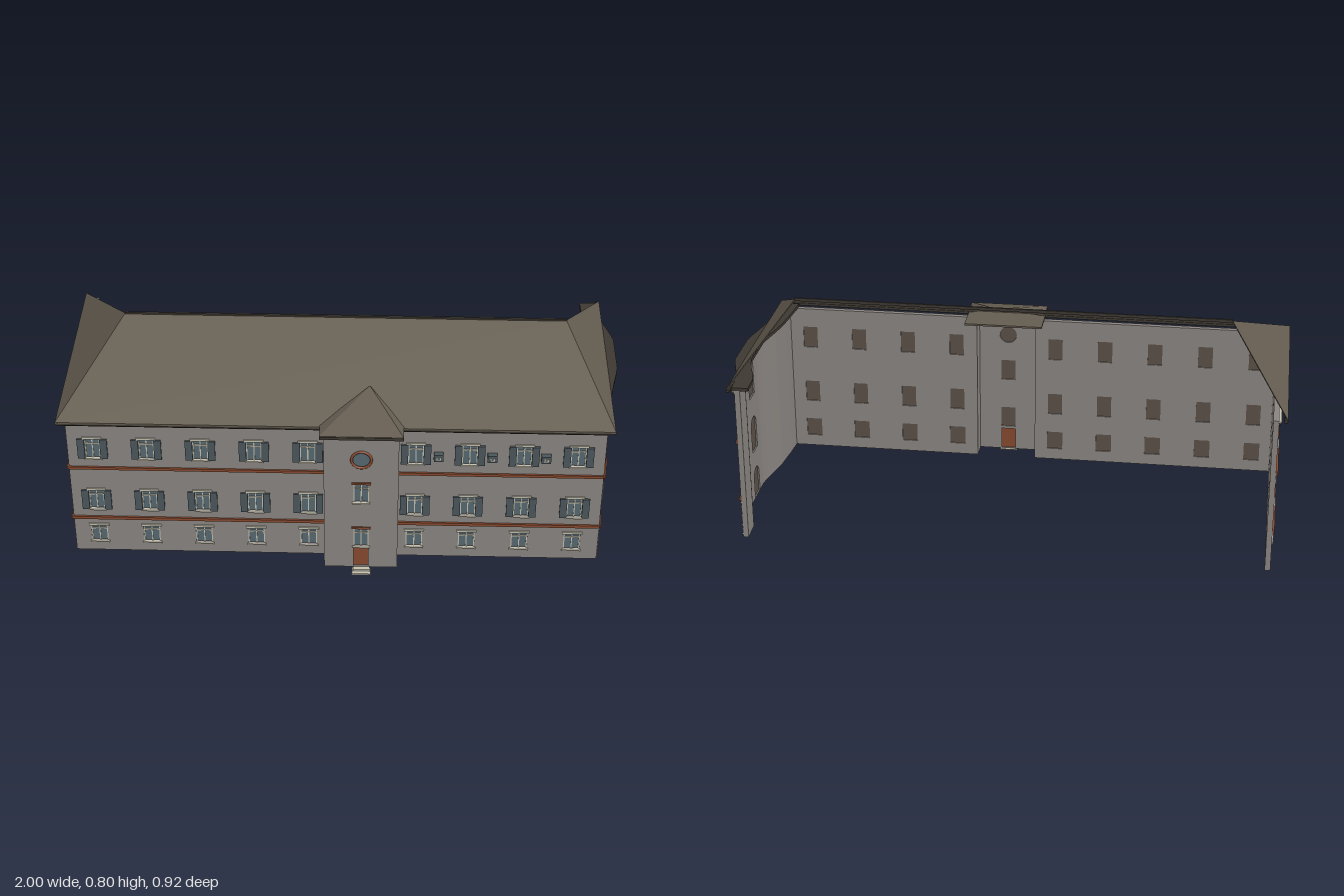
import * as THREE from 'three';

const mat = (name, color, extra = {}) => {
  const m = new THREE.MeshStandardMaterial({ color, ...extra });
  m.name = name;
  return m;
};

export function createModel() {
  const M = {
    wall: mat('wall grey', 0x8a8581),
    roof: mat('roof brown', 0x645c50, { side: THREE.DoubleSide }),
    trim: mat('terracotta trim', 0x86492f),
    cream: mat('cream stone', 0xc4bfae),
    glass: mat('window glass', 0x566870),
    shutter: mat('shutter slate', 0x4b575c),
    panel: mat('inner panel brown', 0x5a5047),
    fascia: mat('dark fascia', 0x3d3831),
  };
  const root = new THREE.Group();
  root.name = 'building';
  const BASE = 0.015, TOP = 0.6, T = 0.02;

  const add = (parent, name, geo, material) => {
    const m = new THREE.Mesh(geo, material);
    m.name = name;
    parent.add(m);
    return m;
  };
  // Box given by its lower and upper limits
  const box = (parent, name, m, x0, x1, y0, y1, z0, z1) =>
    add(parent, name, new THREE.BoxGeometry(x1 - x0, y1 - y0, z1 - z0), m)
      .position.set((x0 + x1) / 2, (y0 + y1) / 2, (z0 + z1) / 2);
  const group = (name, x, z, turn = 0) => {
    const g = new THREE.Group();
    g.name = name;
    g.position.set(x, 0, z);
    g.rotation.y = turn;
    root.add(g);
    return g;
  };
  const rect = (x0, x1, y0, y1, C = THREE.Path) =>
    new C([[x0, y0], [x1, y0], [x1, y1], [x0, y1]].map(p => new THREE.Vector2(...p)));
  const arch = (x, r, y0, spring, C = THREE.Path) => {
    const p = new C();
    p.moveTo(x - r, y0);
    p.lineTo(x + r, y0);
    p.lineTo(x + r, spring);
    p.absarc(x, spring, r, 0, Math.PI, false);
    p.closePath();
    return p;
  };
  const extrude = (shape, depth, z = 0) =>
    new THREE.ExtrudeGeometry(shape, { depth, bevelEnabled: false, curveSegments: 14 }).translate(0, 0, z);
  const wallPanel = (parent, x0, x1, holes) => {
    const s = rect(x0, x1, BASE, TOP, THREE.Shape);
    s.holes.push(...holes);
    add(parent, 'wall', extrude(s, T, -T), M.wall);
  };

  // Recessed rectangular window; returns the hole it needs
  const windowUnit = (parent, x, y, w, h, { shutters = false, header = false } = {}) => {
    const g = new THREE.Group();
    g.name = 'window';
    g.position.set(x, y, 0);
    parent.add(g);
    const a = w / 2;
    box(g, 'glass', M.glass, -a, a, 0, h, -0.011, -0.007);
    box(g, 'innerPanel', M.panel, -a, a, 0, h, -0.016, -0.011);
    for (const bx of [-a + 0.002, 0, a - 0.002])
      box(g, 'frameBar', M.cream, bx - 0.002, bx + 0.002, 0, h, -0.007, -0.003);
    box(g, 'crossBar', M.cream, -a, a, h * 0.7, h * 0.7 + 0.004, -0.007, -0.003);
    box(g, 'sill', M.cream, -a - 0.005, a + 0.005, -0.006, 0, -0.004, 0.006);
    box(g, 'lintel', header ? M.trim : M.cream, -a - 0.007, a + 0.007, h, h + 0.008, -0.004, 0.005);
    if (shutters)
      for (const s of [-1, 1]) {
        const c = s * (a + 0.013);
        box(g, 'shutter', M.shutter, c - 0.013, c + 0.013, 0, h, 0, 0.007);
      }
    return rect(x - a, x + a, y, y + h);
  };
  const floors = [[0.06, 0.072, 0.06], [0.21, 0.085, 0.055], [0.44, 0.085, 0.055]];
  const windowGrid = (parent, xs, shutters) => xs.flatMap(x =>
    floors.map(([y, h, w], i) => windowUnit(parent, x, y, w, h, { shutters: shutters && i > 0 })));
  const bandLevels = [
    ['lowerBand', M.trim, 0.163, 0.175, 0.007], ['upperBand', M.trim, 0.391, 0.402, 0.007],
    ['corniceBand', M.fascia, 0.584, 0.591, 0.006], ['corniceLine', M.cream, 0.593, 0.597, 0.009],
  ];
  const bands = (parent, x0, x1) => bandLevels.forEach(([n, m, y0, y1, d]) =>
    box(parent, n, m, x0, x1, y0, y1, -0.002, d));

  // Front wall, on both sides of the tower
  const front = group('frontWall', 0, 0.36);
  const sides = [
    [-0.97, -0.055, [-0.88, -0.688, -0.496, -0.305, -0.114]],
    [0.21, 0.94, [0.27, 0.461, 0.653, 0.845]],
  ];
  for (const [x0, x1, xs] of sides) {
    wallPanel(front, x0, x1, windowGrid(front, xs, true));
    bands(front, x0, x1);
  }
  // Small wall units between the upper windows
  for (const x of [0.35, 0.54, 0.73]) {
    box(front, 'wallUnit', M.shutter, x - 0.017, x + 0.017, 0.466, 0.494, 0, 0.022);
    box(front, 'wallUnitFace', M.cream, x - 0.008, x + 0.008, 0.474, 0.486, 0.022, 0.024);
    box(front, 'wallUnitVent', M.shutter, x - 0.004, x + 0.004, 0.477, 0.483, 0.024, 0.025);
  }

  // Left-hand end wall at -x
  const end = group('endWall', -0.97, 0, -Math.PI / 2);
  wallPanel(end, -0.44, 0.36, windowGrid(end, [0.21, -0.03, -0.28], false));
  bands(end, -0.44, 0.366);

  // Entrance tower
  const tower = group('tower', 0, 0.43);
  const cx = 0.078, ry = 0.505, rr = 0.033;
  const holes = [
    windowUnit(tower, cx, 0.315, 0.055, 0.082, { header: true }),
    windowUnit(tower, cx, 0.113, 0.055, 0.082, { header: true }),
    rect(cx - 0.027, cx + 0.027, 0.018, 0.102),
    new THREE.Path().absarc(cx, ry, rr, 0, Math.PI * 2, false),
  ];
  wallPanel(tower, -0.055, 0.21, holes);
  box(tower, 'towerSide', M.wall, -0.055, -0.035, BASE, TOP, -0.09, -T);
  box(tower, 'towerSide', M.wall, 0.19, 0.21, BASE, TOP, -0.09, -T);
  box(tower, 'door', M.trim, cx - 0.027, cx + 0.027, 0.018, 0.102, -0.014, -0.008);
  const disc = (name, m, z) => {
    const d = add(tower, name, new THREE.CylinderGeometry(rr, rr, 0.004, 24).rotateX(Math.PI / 2), m);
    d.position.set(cx, ry, z);
  };
  disc('roundGlass', M.glass, -0.008);
  disc('roundInnerPanel', M.panel, -0.013);
  add(tower, 'roundTrim', new THREE.TorusGeometry(rr + 0.002, 0.005, 8, 28), M.trim).position.set(cx, ry, 0);
  box(tower, 'step', M.cream, cx - 0.028, cx + 0.032, 0.007, 0.015, -0.015, 0.016);
  box(tower, 'step', M.cream, cx - 0.032, cx + 0.036, 0, 0.007, -0.005, 0.03);

  // Bowed end wall at +x: plan points as [x, z]
  const bow = group('bowedWall', 0, 0);
  const fore = [[0.94, 0.36], [0.946, 0.27], [0.957, 0.16], [0.97, 0.09], [0.982, 0.035], [0.99, -0.01]];
  const aft = [[0.99, -0.19], [0.982, -0.225], [0.965, -0.28], [0.95, -0.325], [0.942, -0.355], [0.94, -0.44]];
  const strip = (name, m, pts, out, thick, y0, y1) => {
    const line = [...pts.map(([x, z]) => [x + out, z]), ...pts.map(([x, z]) => [x + out - thick, z]).reverse()];
    const s = new THREE.Shape(line.map(([x, z]) => new THREE.Vector2(x, -z)));
    add(bow, name, extrude(s, y1 - y0).rotateX(-Math.PI / 2).translate(0, y0, 0), m);
  };
  const plan = [...fore, ...aft];
  strip('wall', M.wall, fore, 0, T, BASE, TOP);
  strip('wall', M.wall, aft, 0, T, BASE, TOP);
  bandLevels.forEach(([n, m, y0, y1, d]) => strip(n, m, plan, d, d + 0.002, y0, y1));
  strip('bowEave', M.fascia, plan, 0.01, 0.06, 0.6, 0.612);
  // Pale courses at the base, stopping at the door
  const doorSides = [[...fore, [0.99, -0.058]], [[0.99, -0.148], ...aft]];
  for (let i = 0; i < 8; i++)
    for (const pts of doorSides)
      strip('stoneCourse', M.cream, pts, 0.002, 0.003, 0.027 + i * 0.0182, 0.030 + i * 0.0182);

  // Flat middle of the bow with arched openings
  const bay = group('bowCentre', 0.99, -0.1, Math.PI / 2);
  const r = 0.035, ax = 0.004;
  const openings = [['archedDoor', BASE + 0.001, 0.095], ['archedWindow', 0.203, 0.304], ['archedWindow', 0.424, 0.535]];
  wallPanel(bay, -0.09, 0.09, openings.map(([, y0, spring]) => arch(ax, r, y0, spring)));
  for (const [name, y0, spring] of openings) {
    const isDoor = name === 'archedDoor';
    add(bay, name, extrude(arch(ax, r, y0, spring, THREE.Shape), 0.004, -0.011), isDoor ? M.panel : M.glass);
    add(bay, 'innerPanel', extrude(arch(ax, r, y0, spring, THREE.Shape), 0.004, -0.015), M.panel);
    const ring = new THREE.Shape();
    ring.absarc(ax, spring, r + 0.008, 0, Math.PI, false);
    ring.absarc(ax, spring, r, Math.PI, 0, true);
    add(bay, 'archTrim', extrude(ring, 0.009, -0.002), M.trim);
    for (const s of [-1, 1])
      box(bay, 'archFoot', M.trim, ax + s * 0.039 - 0.004, ax + s * 0.039 + 0.004, spring - 0.006, spring, -0.002, 0.009);
    if (isDoor) continue;
    box(bay, 'sill', M.cream, ax - 0.038, ax + 0.038, y0 - 0.004, y0 + 0.002, -0.006, 0.005);
    box(bay, 'transom', M.cream, ax - r, ax + r, spring + 0.004, spring + 0.009, -0.007, -0.003);
    for (const s of [-1, 1])
      box(bay, 'frameBar', M.cream, ax + s * 0.0335 - 0.0015, ax + s * 0.0335 + 0.0015, y0, spring, -0.007, -0.003);
  }

  // Roof planes as thin convex slabs, corners counter-clockwise from above
  const slab = (name, pts, t = 0.006) => {
    const v = [], n = pts.length;
    const low = pts.map(([x, y, z]) => [x, y - t, z]);
    for (let i = 1; i < n - 1; i++) {
      v.push(...pts[0], ...pts[i], ...pts[i + 1]);
      v.push(...low[0], ...low[i + 1], ...low[i]);
    }
    for (let i = 0; i < n; i++) {
      const j = (i + 1) % n;
      v.push(...pts[i], ...low[i], ...low[j], ...pts[i], ...low[j], ...pts[j]);
    }
    const g = new THREE.BufferGeometry();
    g.setAttribute('position', new THREE.Float32BufferAttribute(v, 3));
    g.computeVertexNormals();
    add(root, name, g, M.roof);
  };
  const E = 0.612, R = 0.796;
  const fl = [-1, E, 0.385], fr = [0.965, E, 0.385], bl = [-1, E, -0.455], br = [0.965, E, -0.455];
  const rl = [-0.79, R, -0.04], rg = [0.805, R, -0.04];
  slab('frontRoof', [fl, fr, rg, rl]);
  slab('endRoof', [fl, rl, bl]);
  slab('bowRoof', [fr, br, rg]);
  box(root, 'frontFascia', M.fascia, -1, 0.965, 0.6, 0.61, 0.373, 0.385);
  box(root, 'endFascia', M.fascia, -1, -0.988, 0.6, 0.61, -0.455, 0.385);
  box(root, 'bowFascia', M.fascia, 0.953, 0.965, 0.6, 0.61, -0.455, 0.385);
  box(root, 'ridgeCap', M.fascia, -0.79, 0.805, 0.79, 0.801, -0.044, -0.036);

  // Tower roof and its flat soffit
  const P = [0.103, 0.685, 0.232], a = [-0.07, 0.618, 0.447], b = [0.225, 0.618, 0.447];
  slab('towerRoofFront', [a, b, P]);
  slab('towerRoofSide', [P, [-0.07, 0.614, 0.37], a]);
  slab('towerRoofSide', [b, [0.225, 0.614, 0.37], P]);
  box(root, 'towerSoffit', M.roof, -0.07, 0.225, 0.603, 0.61, 0.25, 0.447);
  box(root, 'towerFascia', M.fascia, -0.07, 0.225, 0.606, 0.616, 0.437, 0.449);
  return root;
}
